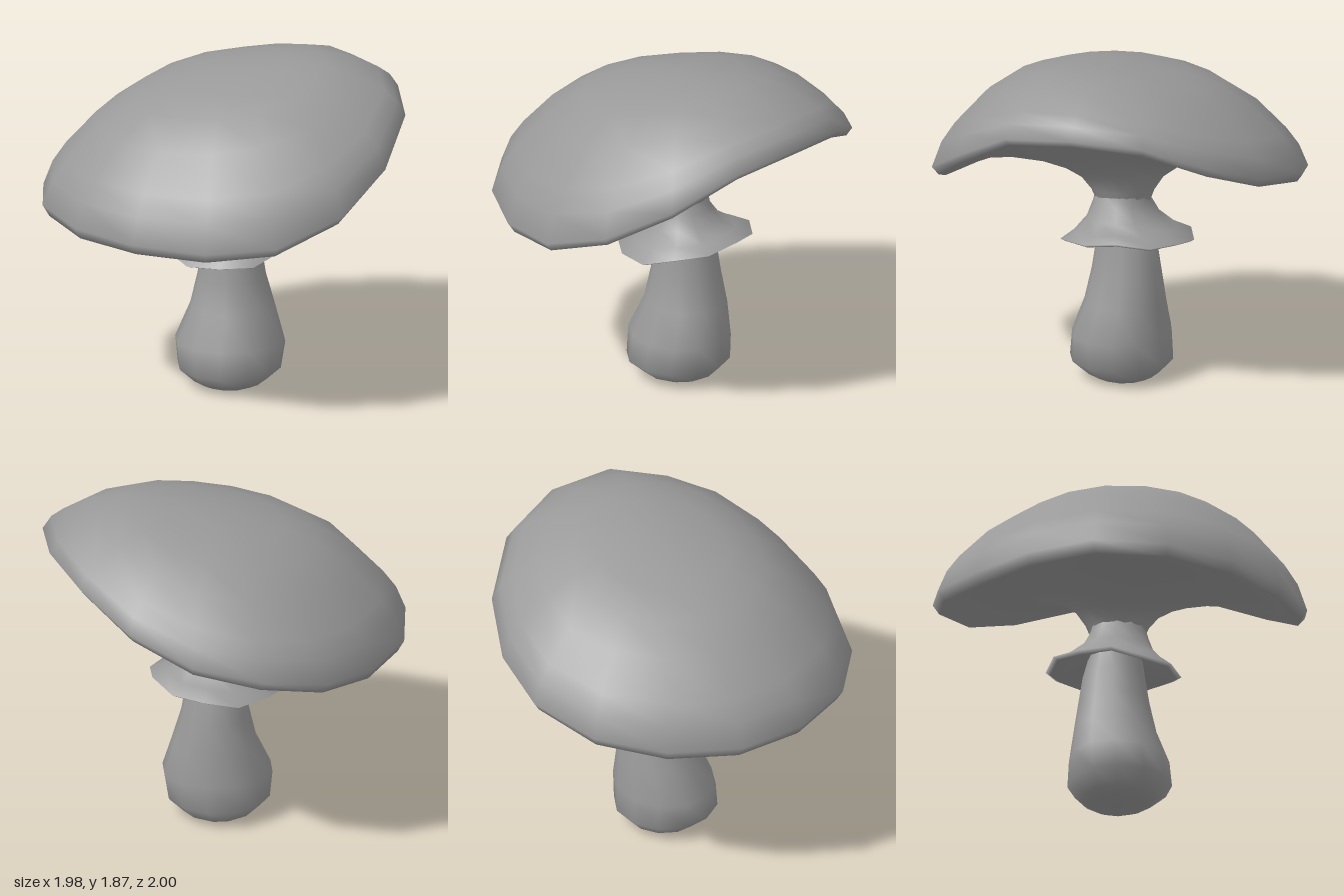
import * as THREE from 'three';

const grey = new THREE.MeshStandardMaterial({ color: 0x9a9a9a, side: THREE.DoubleSide });

// Smooth skin over rings ordered from top to bottom, each ring turning from +x to +z
function loft(name, rings) {
  const n = rings[0].length, last = (rings.length - 1) * n;
  // a ring shrunk to a point shares one vertex so its normals stay smooth
  const isPole = (r) => r[0].distanceTo(r[1]) < 1e-6;
  const top = isPole(rings[0]), bottom = isPole(rings[rings.length - 1]);
  const weld = (v) => (top && v < n ? 0 : bottom && v >= last ? last : v);
  const index = [];
  const face = (...corners) => {
    const f = corners.map(weld);
    if (new Set(f).size === 3) index.push(...f);
  };
  for (let i = 0; i < last; i += n) {
    for (let k = 0; k < n; k++) {
      const a = i + k, b = i + (k + 1) % n;
      face(a, b, a + n);
      face(b, b + n, a + n);
    }
  }
  const geometry = new THREE.BufferGeometry().setFromPoints(rings.flat());
  geometry.setIndex(index);
  geometry.computeVertexNormals();
  const mesh = new THREE.Mesh(geometry, grey);
  mesh.name = name;
  return mesh;
}

// Level ring: height, centre x, z and radii, with an optional height offset per corner
function ring(n, y, cx, cz, rx, rz, dy = () => 0) {
  return Array.from({ length: n }, (_, k) => {
    const a = (k / n) * Math.PI * 2 + 0.2;
    const x = cx + rx * Math.cos(a), z = cz + rz * Math.sin(a);
    return new THREE.Vector3(x, y + dy(x, z, k), z);
  });
}

// Uneven cap rim, x y z per corner
const RIM = [
  [0.985, 1.61, 0.21], [0.87, 1.42, 0.57], [0.63, 1.24, 0.85], [0.27, 1.11, 1.0],
  [-0.12, 1.08, 1.0], [-0.51, 1.09, 0.86], [-0.82, 1.10, 0.6], [-0.99, 1.11, 0.23],
  [-0.98, 1.10, -0.16], [-0.81, 1.11, -0.53], [-0.55, 1.17, -0.84], [-0.2, 1.26, -1.0],
  [0.18, 1.33, -0.96], [0.52, 1.46, -0.81], [0.79, 1.61, -0.54], [0.95, 1.65, -0.18],
];

// Cap ring: s scales the rim outline, w blends from a base surface to the rim's height
function capRing(s, w, base) {
  return RIM.map(([rx, ry, rz]) => {
    const x = rx * s + 0.04 * (1 - s), z = rz * s - 0.02 * (1 - s);
    return new THREE.Vector3(x, base(x, z) + w * (ry - base(rx, rz)), z);
  });
}

export function createModel() {
  const model = new THREE.Group();
  model.name = 'mushroom';

  // Cap: dome, rolled lip, shallow tilted funnel running into the stem
  const dome = [[0, 0], [0.18, 0.02], [0.36, 0.06], [0.54, 0.14], [0.72, 0.32], [0.88, 0.6], [0.95, 0.77], [1, 1]];
  const domeBase = (x, z) => 1.825 + 0.17 * x - 0.1 * z * z;
  const lip = capRing(0.965, 1, (x) => -0.35 * x).map((p) => p.setY(p.y - 0.052));
  // scale, blend, height at the middle, share of the tilt
  const under = [[0.88, 0.75, 1.31, 1], [0.74, 0.45, 1.3, 1], [0.58, 0.22, 1.275, 1], [0.42, 0.07, 1.235, 1],
    [0.3, 0, 1.19, 1], [0.22, 0, 1.14, 0.9], [0.17, 0, 1.08, 0.4], [0.135, 0, 1.0, 0]];
  model.add(loft('cap', [
    ...dome.map(([s, h]) => capRing(s, h, domeBase)),
    lip,
    ...under.map(([s, w, y, t]) => capRing(s, w, (x, z) => y + t * (0.24 * x - 0.15 * z))),
  ]));

  // Stem: y, centre x, centre z, radius x, radius z
  const stem = [
    [1.0, 0.04, -0.02, 0.125, 0.125], [0.78, 0.045, -0.04, 0.165, 0.17],
    [0.62, 0.045, -0.04, 0.19, 0.195], [0.45, 0.05, -0.035, 0.235, 0.225], [0.26, 0.035, -0.005, 0.305, 0.27],
    [0.11, 0.03, 0, 0.285, 0.285], [0.03, 0.03, -0.01, 0.2, 0.2], [0, 0.03, -0.015, 0.14, 0.14], [0, 0.03, -0.015, 0, 0],
  ];
  model.add(loft('stem', stem.map(([y, ...r]) => ring(12, y, ...r))));

  // Skirt: a drooping, slightly wavy collar with a thin edge
  const droop = (w) => (x, z, k) => w * (0.1 * x - 0.11 * z - 0.27 * z * z + (k % 2 ? 0.009 : -0.009));
  const skirt = [
    [1.07, 0.04, -0.015, 0.15, 0.15, 0], [1.01, 0.04, -0.01, 0.175, 0.16, 0.1], [0.93, 0.045, -0.02, 0.215, 0.2, 0.4],
    [0.865, 0.045, -0.03, 0.28, 0.28, 0.8], [0.825, 0.04, -0.04, 0.37, 0.37, 1], [0.808, 0.04, -0.04, 0.34, 0.345, 1],
    [0.84, 0.045, -0.04, 0.25, 0.25, 0.8], [0.88, 0.045, -0.04, 0.14, 0.14, 0.3],
  ];
  model.add(loft('skirt', skirt.map(([y, cx, cz, rx, rz, w]) => ring(12, y, cx, cz, rx, rz, droop(w)))));

  return model;
}
